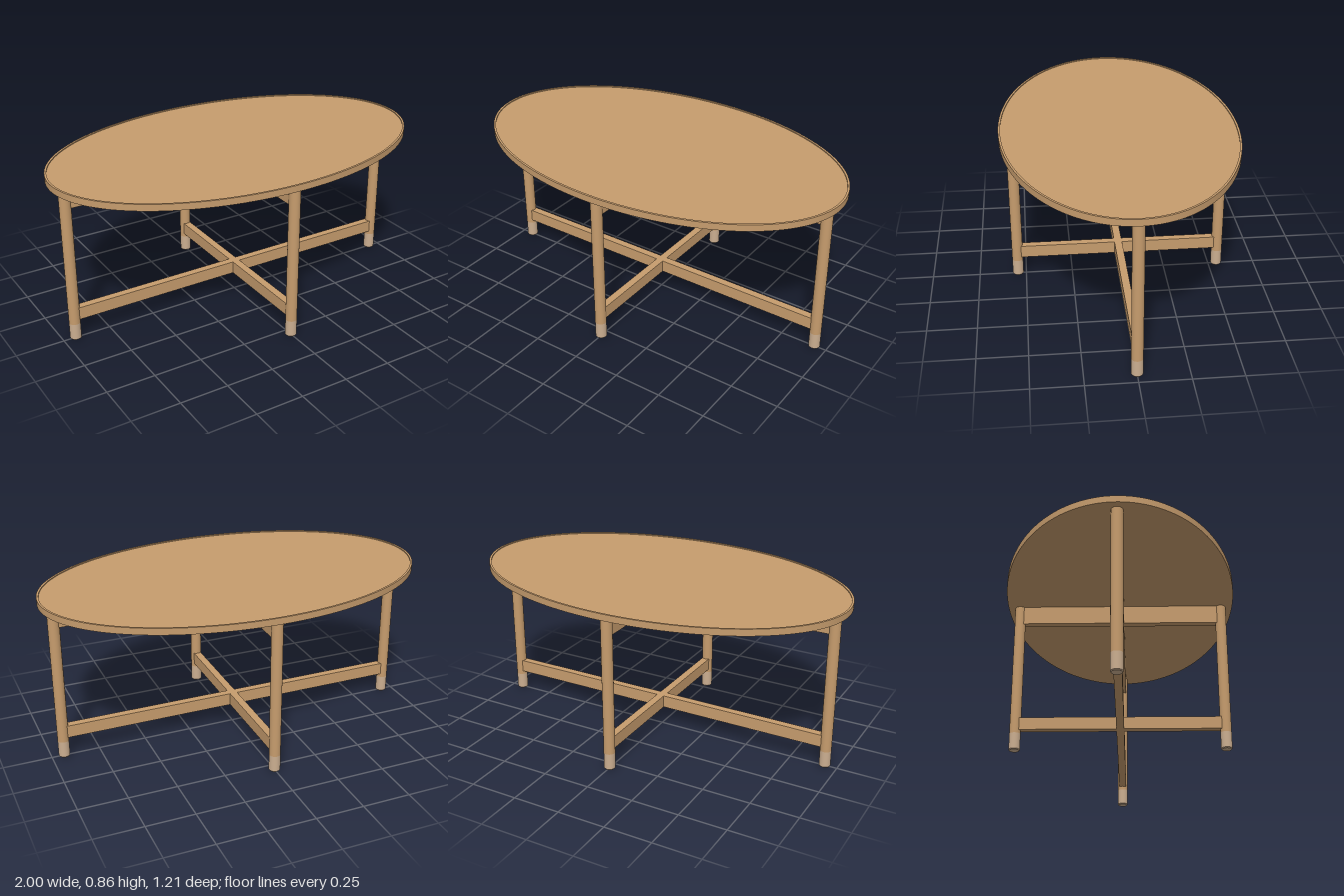
import * as THREE from 'three';
import { toCreasedNormals } from 'three/addons/utils/BufferGeometryUtils.js';

const wood = new THREE.MeshStandardMaterial({ name: 'oak', color: 0xc69c6d });
const pale = new THREE.MeshStandardMaterial({ name: 'paleFoot', color: 0xcbae90 });

const RX = 1, RZ = 0.607;          // tabletop radii
const LEG_X = 0.935, LEG_Z = 0.543, LEG_R = 0.029;
const FOOT_H = 0.09, UNDERSIDE = 0.823, TOP = 0.857;
const BAR = 0.04;                  // rail thickness

function add(parent, name, geometry, material, x = 0, y = 0, z = 0) {
  const mesh = new THREE.Mesh(geometry, material);
  mesh.name = name;
  mesh.position.set(x, y, z);
  parent.add(mesh);
  return mesh;
}

// Horizontal elliptical slab, optionally with an elliptical hole inset from its edge
function ellipseSlab(inset, depth, holeInset) {
  const shape = new THREE.Shape();
  shape.absellipse(0, 0, RX - inset, RZ - inset, 0, Math.PI * 2, false);
  if (holeInset) {
    const hole = new THREE.Path();
    hole.absellipse(0, 0, RX - holeInset, RZ - holeInset, 0, Math.PI * 2, true);
    shape.holes.push(hole);
  }
  const geo = new THREE.ExtrudeGeometry(shape, { depth, bevelEnabled: false, curveSegments: 96 });
  geo.rotateX(-Math.PI / 2);
  return toCreasedNormals(geo, 0.6);
}

// Crossed rails: one long bar and two short halves butted against it
function crossRails(name, bottom, height) {
  const group = new THREE.Group();
  group.name = name;
  const y = bottom + height / 2;
  add(group, name + 'Long', new THREE.BoxGeometry(LEG_X * 2, height, BAR), wood, 0, y, 0);
  const len = LEG_Z - BAR / 2;
  for (const s of [1, -1]) {
    add(group, name + 'Short', new THREE.BoxGeometry(BAR, height, len), wood, 0, y, s * (BAR / 2 + len / 2));
  }
  return group;
}

// Round leg with a pale, softly rounded foot
function makeLeg(x, z) {
  const leg = new THREE.Group();
  leg.name = 'leg';
  leg.position.set(x, 0, z);
  const h = UNDERSIDE - FOOT_H;
  add(leg, 'legPost', new THREE.CylinderGeometry(LEG_R, LEG_R, h, 32), wood, 0, FOOT_H + h / 2, 0);
  const side = FOOT_H - 0.005;
  add(leg, 'foot', new THREE.CylinderGeometry(LEG_R, LEG_R, side, 32, 1, true), pale, 0, 0.005 + side / 2, 0);
  add(leg, 'footTip', new THREE.CylinderGeometry(LEG_R, LEG_R - 0.004, 0.005, 32), pale, 0, 0.0025, 0);
  return leg;
}

export function createModel() {
  const table = new THREE.Group();
  table.name = 'ovalTable';

  // Tabletop with a thin raised lip
  const lip = 0.005;
  add(table, 'tabletop', ellipseSlab(0, TOP - lip - UNDERSIDE), wood, 0, UNDERSIDE, 0);
  add(table, 'tabletopLip', ellipseSlab(0, lip, 0.011), wood, 0, TOP - lip, 0);

  // Upper and lower crossed rails
  table.add(crossRails('apron', 0.722, UNDERSIDE - 0.722));
  table.add(crossRails('stretcher', 0.109, 0.066));

  // One leg at each end of the cross
  for (const s of [1, -1]) table.add(makeLeg(s * LEG_X, 0), makeLeg(0, s * LEG_Z));

  return table;
}
